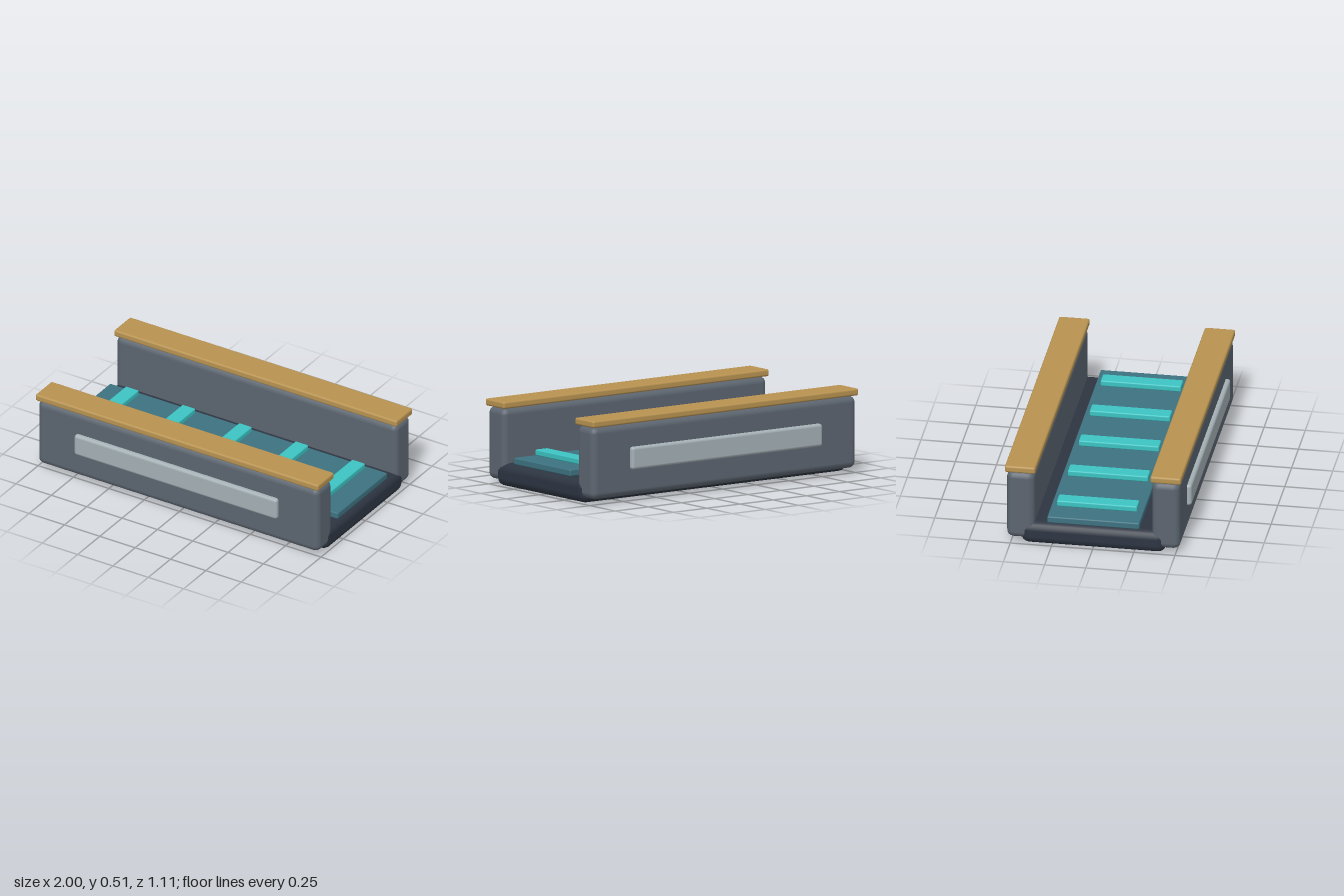
import * as THREE from 'three';
import { RoundedBoxGeometry } from 'three/addons/geometries/RoundedBoxGeometry.js';

function material(name, color) {
  const m = new THREE.MeshStandardMaterial({ color });
  m.name = name;
  return m;
}

export function createModel() {
  const group = new THREE.Group();
  group.name = 'conveyor';

  const navy = material('dark navy', 0x2d3542);
  const slate = material('slate grey', 0x5c6570);
  const brass = material('brass', 0xb89351);
  const silver = material('silver grey', 0xa5b1b6);
  const teal = material('deep teal', 0x3d7280);
  const cyan = material('bright cyan', 0x3cc4c3);

  // Rounded block given by its x, y and z ranges
  function block(name, mat, [x0, x1], [y0, y1], [z0, z1], radius) {
    const geometry = new RoundedBoxGeometry(x1 - x0, y1 - y0, z1 - z0, 2, radius);
    const mesh = new THREE.Mesh(geometry, mat);
    mesh.name = name;
    mesh.position.set((x0 + x1) / 2, (y0 + y1) / 2, (z0 + z1) / 2);
    group.add(mesh);
    return mesh;
  }

  // Base and raised deck
  block('base', navy, [-1, 1], [0, 0.14], [-0.44, 0.44], 0.05);
  block('deck', teal, [-0.98, 0.98], [0.144, 0.186], [-0.28, 0.28], 0.008);

  // Cross slats above the deck
  for (let i = -2; i <= 2; i++) {
    const x = i * 0.4;
    block('slat', cyan, [x - 0.046, x + 0.046], [0.191, 0.228], [-0.244, 0.244], 0.008);
  }

  // Side walls with top rails and outer panels, mirrored front and back
  for (const side of [1, -1]) {
    const label = side > 0 ? 'front' : 'back';
    const span = (a, b) => (side > 0 ? [a, b] : [-b, -a]);
    block(label + 'Wall', slate, [-0.994, 0.994], [0.032, 0.47], span(0.356, 0.526), 0.04);
    block(label + 'Rail', brass, [-1, 1], [0.472, 0.515], span(0.349, 0.535), 0.012);
    block(label + 'Panel', silver, [-0.717, 0.717], [0.193, 0.331], span(0.5, 0.553), 0.018);
  }

  return group;
}
